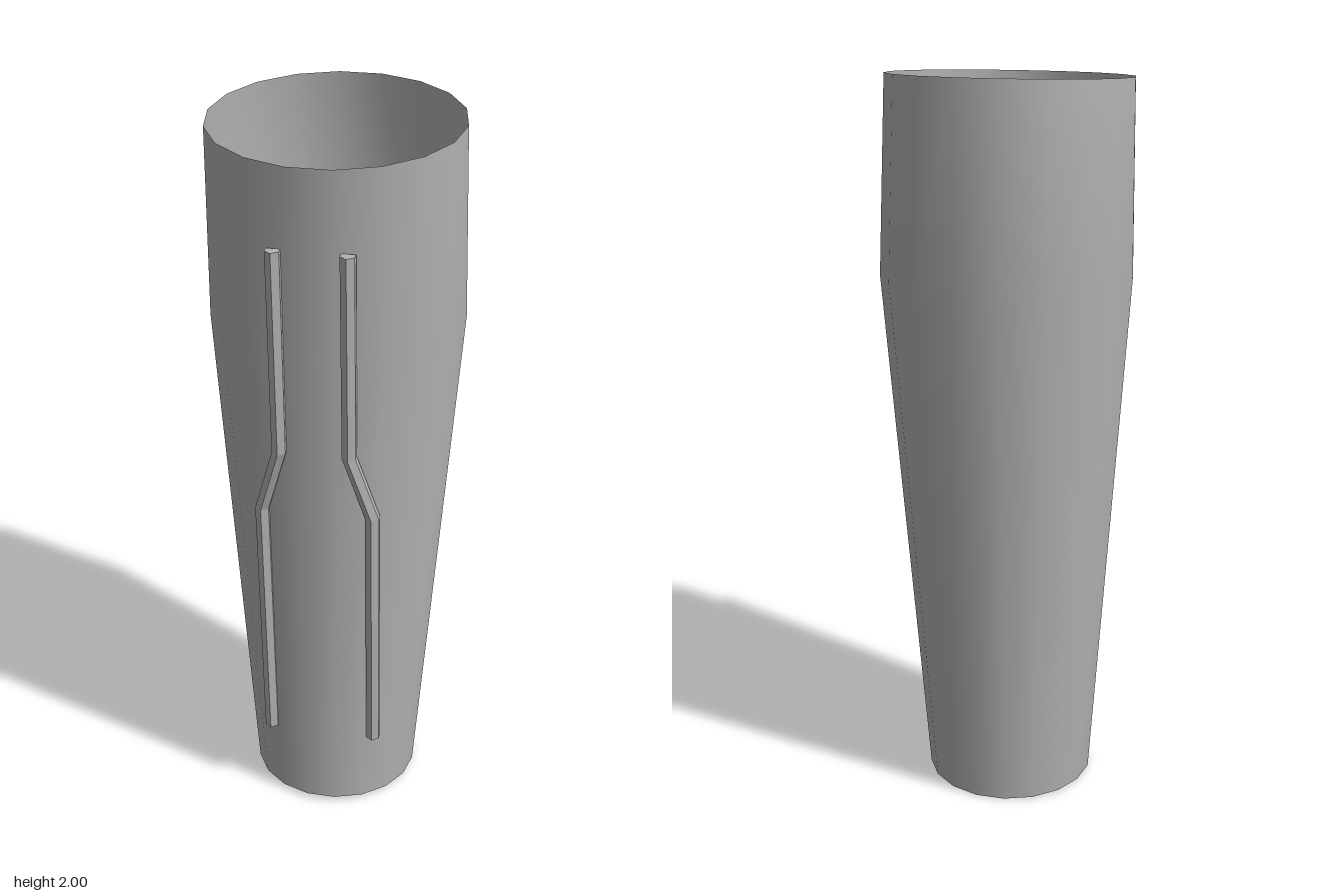
import * as THREE from 'three';

const shellGrey = new THREE.MeshStandardMaterial({ color: 0xb2b2b2, side: THREE.DoubleSide });
shellGrey.name = 'shellGrey';

// Join cross-sections (arrays of points) into one closed band of quads
function loft(sections, caps) {
  const n = sections[0].length, index = [];
  for (let s = 0; s < sections.length - 1; s++) {
    for (let i = 0; i < n; i++) {
      const a = s * n + i, b = s * n + (i + 1) % n;
      index.push(a, b, b + n, a, b + n, a + n);
    }
  }
  if (caps) {
    const last = (sections.length - 1) * n;
    for (let i = 1; i < n - 1; i++) index.push(0, i + 1, i, last, last + i, last + i + 1);
  }
  const g = new THREE.BufferGeometry();
  g.setAttribute('position', new THREE.Float32BufferAttribute(sections.flat(2), 3));
  g.setIndex(index);
  return g;
}

// Open sleeve: 18-sided rings, each with radius, centre z, height and tilt
function makeSleeve() {
  const rings = [
    { r: 0.233, cz: 0.0135, y: 0.007, tilt: 0.033 },
    { r: 0.337, cz: -0.02, y: 1.465, tilt: -0.02 },
    { r: 0.326, cz: 0.014, y: 1.981, tilt: -0.063 },
  ];
  const sections = rings.map(({ r, cz, y, tilt }) =>
    Array.from({ length: 18 }, (_, i) => {
      const a = THREE.MathUtils.degToRad(10 + 20 * i);
      const z = cz + r * Math.cos(a);
      return [r * Math.sin(a), y + tilt * z, z];
    }));
  const g = loft(sections, false);
  g.computeVertexNormals();
  return g;
}

// Raised ridge with a pointed section, following a kinked path up the front
function makeRidge(side) {
  const path = [[0.147, 0.24, 0.206], [0.147, 1.0, 0.254], [0.091, 1.19, 0.287], [0.091, 1.75, 0.316]];
  const profile = [[-0.018, 0], [-0.018, 0.019], [0, 0.033], [0.018, 0.019], [0.018, 0]].reverse();
  const sections = path.map(([x, y, z]) => {
    const pts = profile.map(([dx, dz]) => [side * (x + dx), y, z + dz]);
    return side > 0 ? pts.reverse() : pts;
  });
  const g = loft(sections, true).toNonIndexed();
  g.computeVertexNormals();
  return g;
}

export function createModel() {
  const group = new THREE.Group();
  group.name = 'limbSleeve';
  const add = (name, geometry) => {
    const mesh = new THREE.Mesh(geometry, shellGrey);
    mesh.name = name;
    group.add(mesh);
  };
  add('sleeve', makeSleeve());
  add('leftRidge', makeRidge(1));
  add('rightRidge', makeRidge(-1));
  return group;
}
